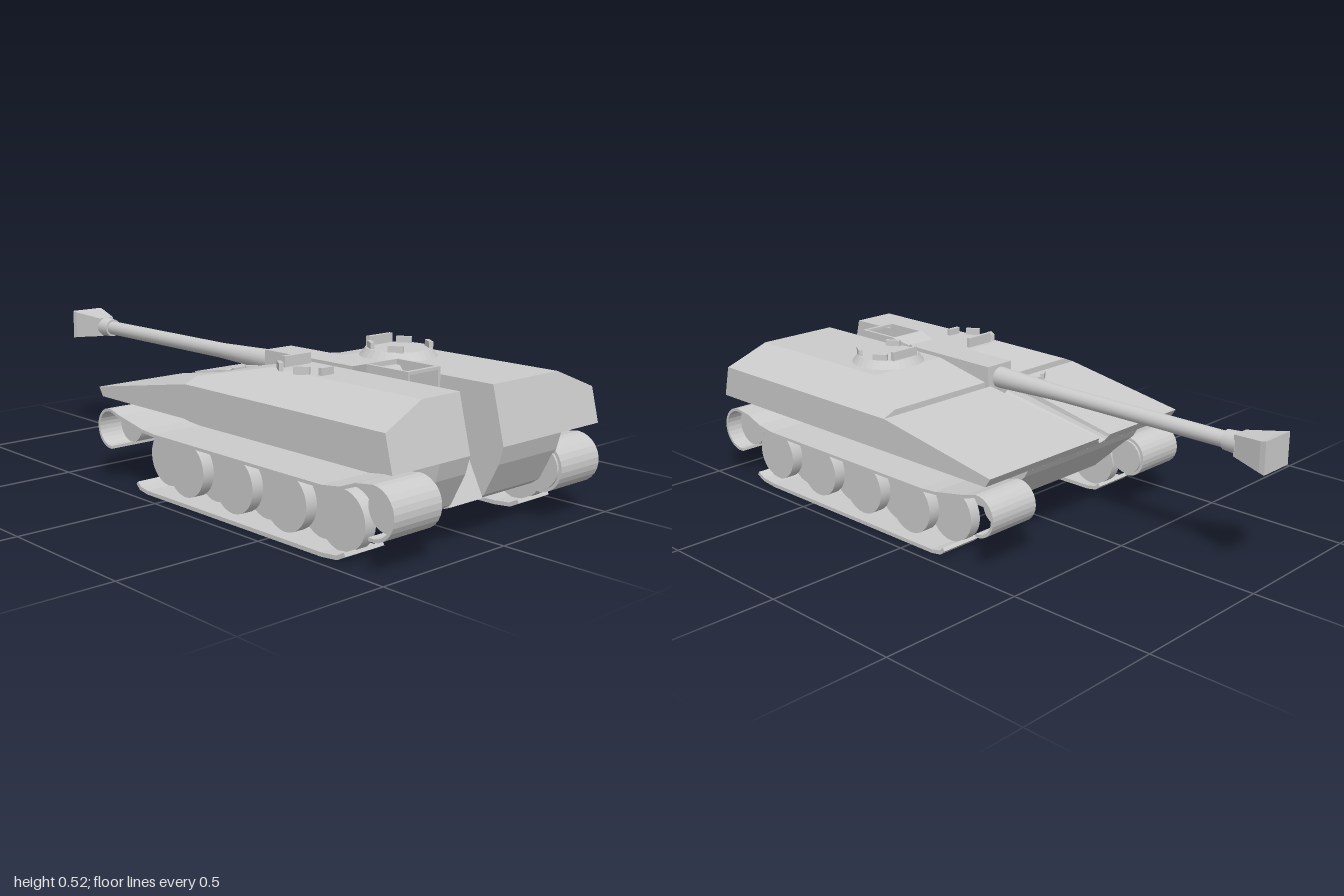
import * as THREE from 'three';

const flat = new THREE.MeshStandardMaterial({ color: 0xcccccc, flatShading: true });
const smooth = new THREE.MeshStandardMaterial({ color: 0xcccccc });
const GUN_X = -0.075, GUN_Y = 0.423, HALF = 0.457;

export function createModel() {
  const model = new THREE.Group();
  model.name = 'trackedGun';

  const add = (name, geometry, material = flat) => {
    const mesh = new THREE.Mesh(geometry, material);
    mesh.name = name;
    model.add(mesh);
    return mesh;
  };
  const box = (name, x0, x1, y0, y1, z0, z1) =>
    add(name, new THREE.BoxGeometry(x1 - x0, y1 - y0, z1 - z0)
      .translate((x0 + x1) / 2, (y0 + y1) / 2, (z0 + z1) / 2));

  // Side profile of [z, y] points, extruded from x0 to x1
  const slab = (name, pts, x0, x1) => {
    const shape = new THREE.Shape(pts.map(([z, y]) => new THREE.Vector2(z, y)));
    const g = new THREE.ExtrudeGeometry(shape, { depth: x1 - x0, bevelEnabled: false });
    return add(name, g.rotateY(-Math.PI / 2).translate(x1, 0, 0));
  };

  // Closed skin over rings of [x, y, z], listed from +z to -z, capped at both ends
  const loft = (name, rings) => {
    const flatRing = r => r.map(p => new THREE.Vector2(p[0], p[1]));
    if (THREE.ShapeUtils.area(flatRing(rings[0])) < 0) rings = rings.map(r => [...r].reverse());
    const pos = [], tri = (...p) => p.forEach(v => pos.push(...v));
    for (let k = 0; k + 1 < rings.length; k++) {
      rings[k].forEach((a, i) => {
        const j = (i + 1) % rings[k].length;
        const b = rings[k][j], c = rings[k + 1][i], d = rings[k + 1][j];
        tri(a, c, b);
        tri(b, c, d);
      });
    }
    [rings[0], rings[rings.length - 1]].forEach((r, end) => {
      THREE.ShapeUtils.triangulateShape(flatRing(r), []).forEach(([i, j, k]) => {
        const [a, b, c] = [r[i], r[j], r[k]];
        const ccw = (b[0] - a[0]) * (c[1] - a[1]) - (b[1] - a[1]) * (c[0] - a[0]) > 0;
        if (ccw === (end === 0)) tri(a, b, c); else tri(a, c, b);
      });
    });
    const g = new THREE.BufferGeometry();
    g.setAttribute('position', new THREE.Float32BufferAttribute(pos, 3));
    g.computeVertexNormals();
    return add(name, g);
  };
  const rect = (x0, x1, y0, y1, z) => [[x0, y0, z], [x1, y0, z], [x1, y1, z], [x0, y1, z]];

  // Upper hull: two halves with sloped shoulders either side of the gun slot
  const rearZ = y => 0.985 - 0.045 * (y - 0.29) / 0.175;
  const half = (inner, s) => (edge, top, zAt) =>
    [[inner, 0.29], [s * HALF, 0.29], [s * HALF, 0.4], [s * edge, top], [inner, top]]
      .map(([x, y]) => [x, y, zAt(y)]);
  for (const [name, inner, s] of [['leftUpperHull', 0, 1], ['rightUpperHull', -0.145, -1]]) {
    const ring = half(inner, s);
    loft(name, [ring(0.3, 0.465, rearZ), ring(0.3, 0.465, () => 0.33), ring(0.41, 0.42, () => 0.11)]);
  }

  // Long sloped front deck with a tapering half-round groove under the barrel
  const deckRing = (top, r, zAt) => {
    const pts = [[-HALF, 0.29], [HALF, 0.29], [HALF, top]];
    for (let i = 0; i <= 8; i++) {
      const a = -Math.PI * i / 8;
      pts.push([GUN_X + r * Math.cos(a), top + r * Math.sin(a)]);
    }
    pts.push([-HALF, top]);
    return pts.map(([x, y]) => [x, y, zAt(y)]);
  };
  loft('frontDeck', [
    deckRing(0.4, 0.048, () => 0.11),
    deckRing(0.32, 0.026, y => -0.36 + 0.67 * (0.32 - y)),
  ]);

  // Lower hull, with a ramped floor in the gun slot
  const nose = [[-0.16, 0.115], [-0.325, 0.265], [-0.34, 0.29]];
  const side = [[0.985, 0.29], [0.97, 0.235], [0.92, 0.135], [0.89, 0.115], ...nose];
  slab('leftLowerHull', side, 0, 0.27);
  slab('rightLowerHull', side, -0.27, -0.145);
  slab('slotFloor', [[0.86, 0.235], [0.917, 0.125], [0.89, 0.115], ...nose,
    [0.11, 0.29], [0.11, 0.31], [0.74, 0.31]], -0.145, 0);

  // Gun cradle, and the open breech housing behind it
  loft('gunCradle', [
    rect(-0.143, -0.002, 0.315, 0.49, 0.58),
    rect(-0.13, -0.016, 0.33, 0.472, 0.51),
    rect(-0.13, -0.016, 0.385, 0.47, 0.11),
  ]);
  box('housingFloor', -0.143, -0.002, 0.315, 0.325, 0.58, 0.745);
  for (const x of [-0.143, -0.012]) box('housingWall', x, x + 0.01, 0.325, 0.49, 0.58, 0.745);
  box('housingRearLip', -0.133, -0.012, 0.48, 0.49, 0.733, 0.745);
  slab('breech', [[0.58, 0.325], [0.735, 0.325], [0.735, 0.365], [0.69, 0.365], [0.6, 0.475], [0.58, 0.475]],
    -0.125, -0.02);

  // Barrel turned as one profile of [radius, distance along -z]
  const barrel = new THREE.LatheGeometry(
    [[0, -0.15], [0.037, -0.15], [0.037, -0.11], [0.026, 0.17], [0.025, 0.825]]
      .map(([r, l]) => new THREE.Vector2(r, l)), 20);
  add('barrel', barrel.rotateX(-Math.PI / 2).translate(GUN_X, GUN_Y, 0), smooth);
  add('muzzleCollar', new THREE.CylinderGeometry(0.036, 0.032, 0.05, 20)
    .rotateX(-Math.PI / 2).translate(GUN_X, GUN_Y, -0.85), smooth);
  const muzzle = (w, h, z) => rect(GUN_X - w, GUN_X + w, GUN_Y - h, GUN_Y + h, z);
  loft('muzzleBrake', [muzzle(0.03, 0.034, -0.87), muzzle(0.061, 0.048, -0.98), muzzle(0.063, 0.052, -1)]);

  // Commander's cupola
  add('cupola', new THREE.CylinderGeometry(0.105, 0.125, 0.025, 32).translate(0.145, 0.4775, 0.44));

  // Periscope blocks: x, base y, z, width, height, turn
  const blocks = [
    [0.146, 0.488, 0.355, 0.108, 0.032, 0],
    [0.068, 0.488, 0.392, 0.05, 0.022, 1], [0.222, 0.488, 0.392, 0.05, 0.022, -1],
    [0.068, 0.488, 0.5, 0.05, 0.022, -1], [0.222, 0.488, 0.5, 0.05, 0.022, 1],
    [-0.217, 0.463, 0.355, 0.107, 0.036, 0], [-0.302, 0.463, 0.375, 0.045, 0.025, 1],
    [-0.302, 0.463, 0.47, 0.05, 0.025, -1], [-0.255, 0.463, 0.525, 0.05, 0.025, 0],
    [-0.24, 0.385, 0.062, 0.04, 0.028, 0.6], [-0.19, 0.383, 0.045, 0.045, 0.028, 0],
    [-0.145, 0.385, 0.062, 0.04, 0.028, -0.6],
  ];
  for (const [x, y, z, w, h, turn] of blocks) {
    const b = add('periscope', new THREE.BoxGeometry(w, h, 0.014));
    b.position.set(x, y + h / 2, z);
    b.rotation.y = turn;
  }

  // Constant-thickness strip following a [z, y] path
  const strip = (name, path, t, x0, x1) => {
    const inside = path.map(([z, y], i) => {
      const a = path[Math.max(i - 1, 0)], b = path[Math.min(i + 1, path.length - 1)];
      const dz = b[0] - a[0], dy = b[1] - a[1], l = Math.hypot(dz, dy);
      return [z + dy / l * t, y - dz / l * t];
    });
    slab(name, [...path, ...inside.reverse()], x0, x1);
  };
  const arc = (z, y, r, from, to, n) => Array.from({ length: n + 1 }, (_, i) => {
    const a = (from + (to - from) * i / n) * Math.PI / 180;
    return [z + r * Math.cos(a), y + r * Math.sin(a)];
  });
  const upperRun = [
    ...arc(-0.303, 0.185, 0.069, 275, 85, 14), [-0.25, 0.24], [-0.12, 0.215], [-0.06, 0.21],
    [0.72, 0.21], [0.79, 0.22], [0.85, 0.243], ...arc(0.915, 0.172, 0.08, 90, -100, 14),
  ];
  const lowerRun = [[-0.15, 0.034], [-0.135, 0.02], [-0.1, 0.014], [0.72, 0.014], [0.78, 0.02], [0.81, 0.036]];

  // Running gear, mirrored: interleaved road wheels, end wheels, track runs
  for (const s of [1, -1]) {
    const span = (a, b) => s > 0 ? [a, b] : [-b, -a];
    const wheel = (name, z, y, r, a, b) =>
      add(name, new THREE.CylinderGeometry(r, r, b - a, 28)
        .rotateZ(Math.PI / 2).translate(s * (a + b) / 2, y, z), smooth);
    strip('upperTrack', upperRun, 0.01, ...span(0.268, HALF));
    strip('lowerTrack', lowerRun, 0.013, ...span(0.303, HALF));
    for (let i = 0; i < 4; i++) {
      wheel('outerRoadWheel', 0.755 - 0.236 * i, 0.107, 0.092, 0.37, 0.412);
      wheel('innerRoadWheel', 0.637 - 0.245 * i, 0.107, 0.092, 0.33, 0.369);
    }
    wheel('rearIdler', 0.915, 0.172, 0.07, 0.26, 0.4);
    wheel('frontSprocket', -0.303, 0.185, 0.059, 0.26, 0.37);
  }
  return model;
}
